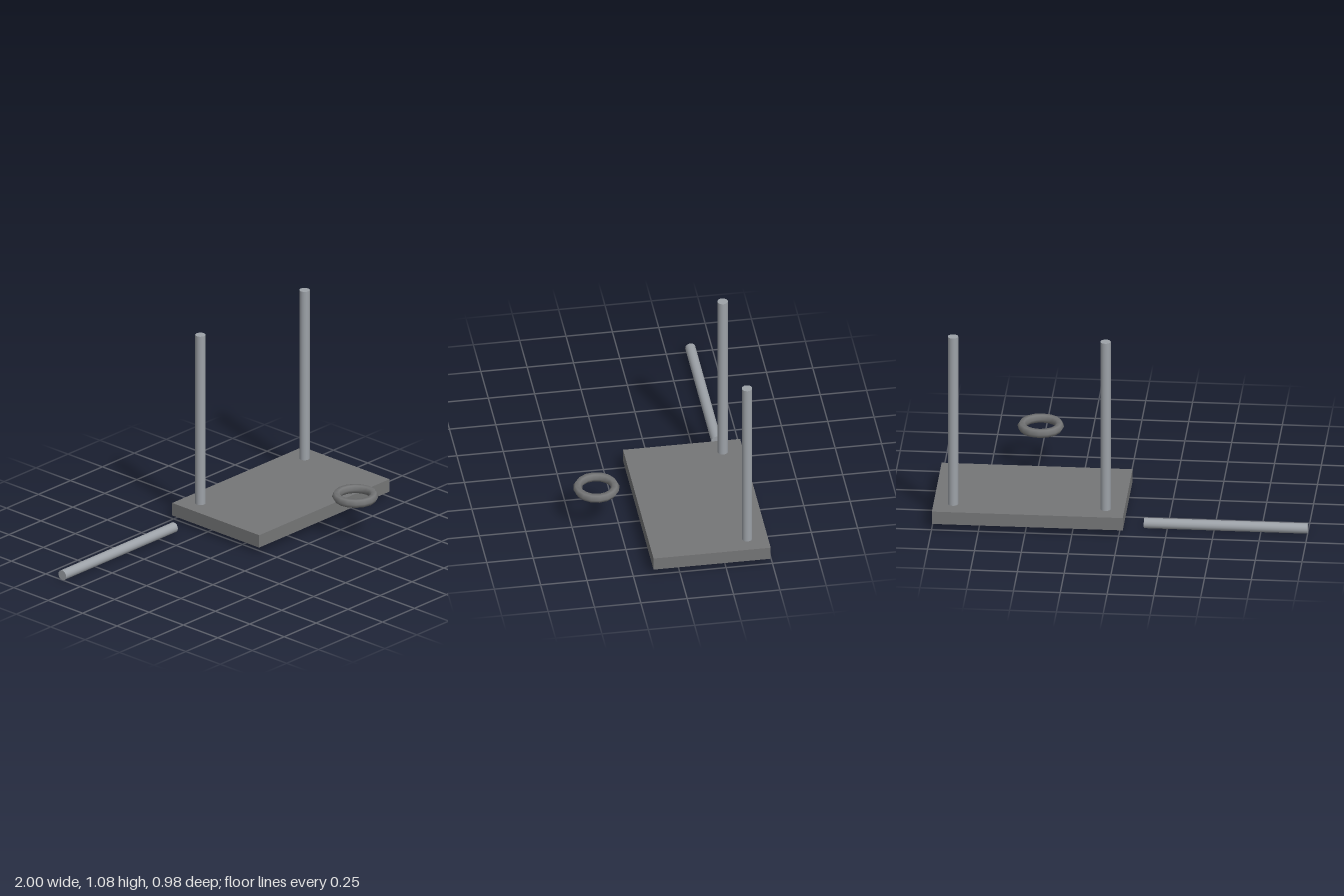
import * as THREE from 'three';

export function createModel() {
  const model = new THREE.Group();
  const darkGrey = new THREE.MeshStandardMaterial({ name: 'darkGrey', color: 0x757677 });
  const steel = new THREE.MeshStandardMaterial({ name: 'steelGrey', color: 0x9da2a8 });

  const add = (name, geometry, material, x, y, z) => {
    const mesh = new THREE.Mesh(geometry, material);
    mesh.name = name;
    mesh.position.set(x, y, z);
    model.add(mesh);
    return mesh;
  };

  const rodRadius = 0.028, rodZ = -0.38;

  // Flat rectangular base
  add('base', new THREE.BoxGeometry(1.02, 0.072, 0.632), darkGrey, 0.489, 0.066, -0.175);

  // Two upright posts near the back edge
  for (const [name, x] of [['rightPost', 0.08], ['leftPost', 0.895]]) {
    add(name, new THREE.CylinderGeometry(rodRadius, rodRadius, 0.98, 16), steel, x, 0.59, rodZ);
  }

  // Loose crossbar lying beside the base
  add('crossbar', new THREE.CylinderGeometry(rodRadius, rodRadius, 0.874, 16), steel, -0.563, rodRadius, rodZ)
    .rotation.z = Math.PI / 2;

  // Flat ring in front of the base, hexagonal in section
  add('ring', new THREE.TorusGeometry(0.1, 0.0245, 6, 16), darkGrey, 0.488, 0.235, 0.367)
    .rotation.x = -Math.PI / 2;

  return model;
}
